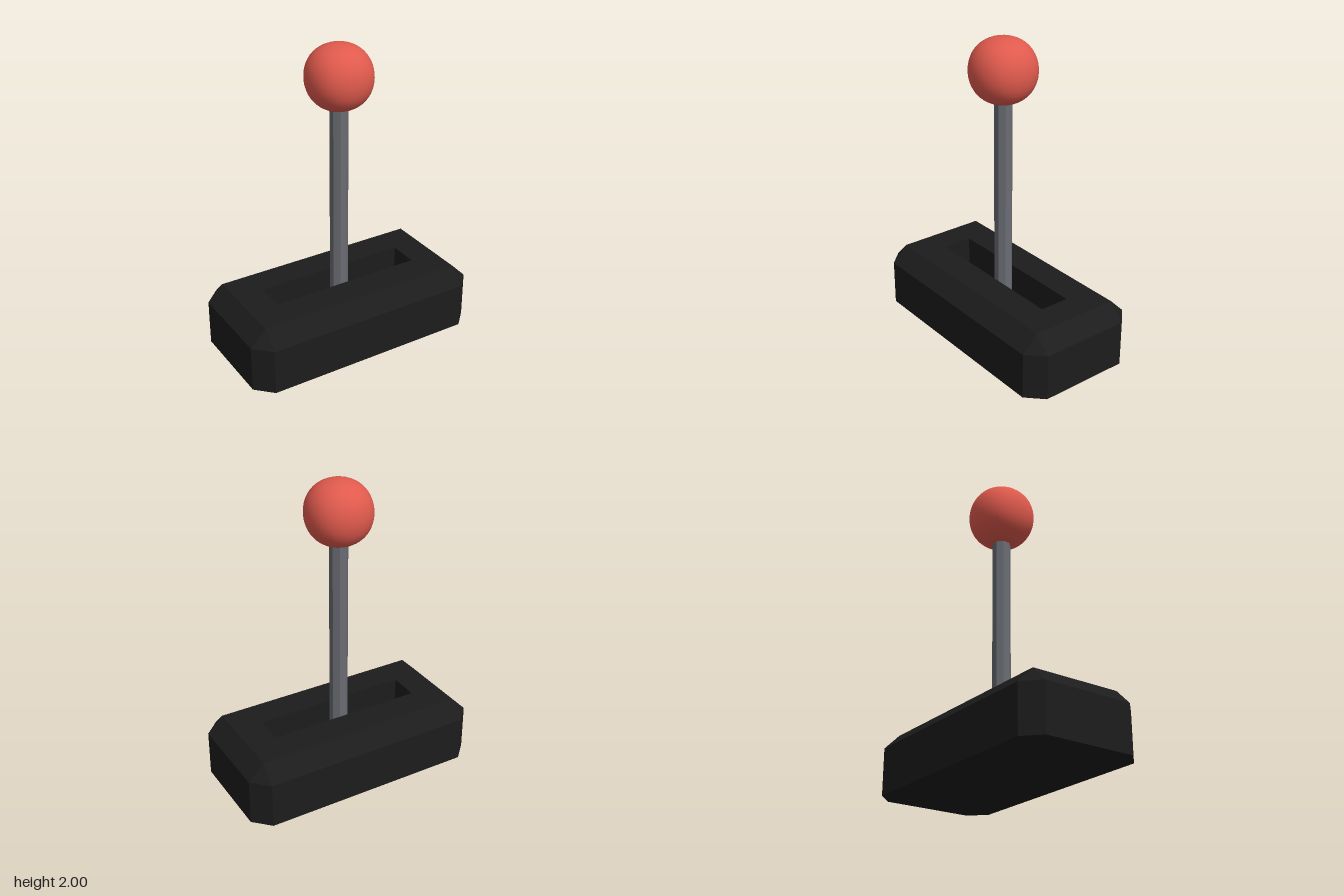
import * as THREE from 'three';
import { mergeVertices } from 'three/addons/utils/BufferGeometryUtils.js';

const mat = (color, flatShading) => new THREE.MeshStandardMaterial({ color, flatShading });

// Eight-point rectangle of half-size X by Z with corners cut by c, counterclockwise from above
function ring(X, Z, y, c = 0) {
  const points = [];
  [[1, 1], [1, -1], [-1, -1], [-1, 1]].forEach(([sx, sz], i) => {
    const pair = [[sx * (X - c), y, sz * Z], [sx * X, y, sz * (Z - c)]];
    points.push(...(i % 2 ? pair.reverse() : pair));
  });
  return points.map((p) => new THREE.Vector3(...p));
}

// Skin over successive rings, skipping collapsed triangles
function loft(rings) {
  const vertices = [];
  const add = (a, b, c) => {
    if (new THREE.Triangle(a, b, c).getArea() > 1e-7) vertices.push(a, b, c);
  };
  for (let r = 0; r < rings.length - 1; r++) {
    const low = rings[r], high = rings[r + 1];
    for (let i = 0; i < 8; i++) {
      const j = (i + 1) % 8;
      add(low[i], low[j], high[j]);
      add(low[i], high[j], high[i]);
    }
  }
  const geometry = new THREE.BufferGeometry().setFromPoints(vertices);
  geometry.computeVertexNormals();
  return geometry;
}

// Slightly cubic ball: a subdivided cube pushed out to a nearly round surface
function softBall(radius) {
  const box = new THREE.BoxGeometry(2, 2, 2, 12, 12, 12);
  box.deleteAttribute('normal');
  box.deleteAttribute('uv');
  const geometry = mergeVertices(box);
  const pos = geometry.attributes.position;
  const v = new THREE.Vector3();
  for (let i = 0; i < pos.count; i++) {
    v.fromBufferAttribute(pos, i);
    v.set(...v.toArray().map((t) => Math.tan(t * Math.PI / 4))).normalize();
    const bulge = 1 + 0.06 * (1 - v.x ** 4 - v.y ** 4 - v.z ** 4);
    v.multiplyScalar(radius * bulge);
    pos.setXYZ(i, v.x, v.y, v.z);
  }
  geometry.computeVertexNormals();
  return geometry;
}

export function createModel() {
  const group = new THREE.Group();
  const add = (name, geometry, material, y = 0) => {
    const mesh = new THREE.Mesh(geometry, material);
    mesh.name = name;
    mesh.position.y = y;
    group.add(mesh);
  };

  // Chamfered base with a slot sunk into its top
  const slotFloor = 0.2;
  add('base', loft([
    ring(0, 0, 0),
    ring(0.81, 0.405, 0, 0.105),
    ring(0.81, 0.405, 0.305, 0.105),
    ring(0.705, 0.3, 0.41),
    ring(0.515, 0.1, 0.41),
    ring(0.515, 0.1, slotFloor),
    ring(0, 0, slotFloor),
  ]), mat(0x1c1c1c, true));

  // Eight-sided lever standing on the slot floor, flats facing the axes
  const top = 1.62;
  const rod = new THREE.CylinderGeometry(0.0595, 0.0595, top - slotFloor, 8).rotateY(Math.PI / 8);
  add('lever', rod, mat(0x696c72, true), (top + slotFloor) / 2);

  // Red knob
  add('knob', softBall(0.208), mat(0xe05a4d, false), 1.792);

  return group;
}
